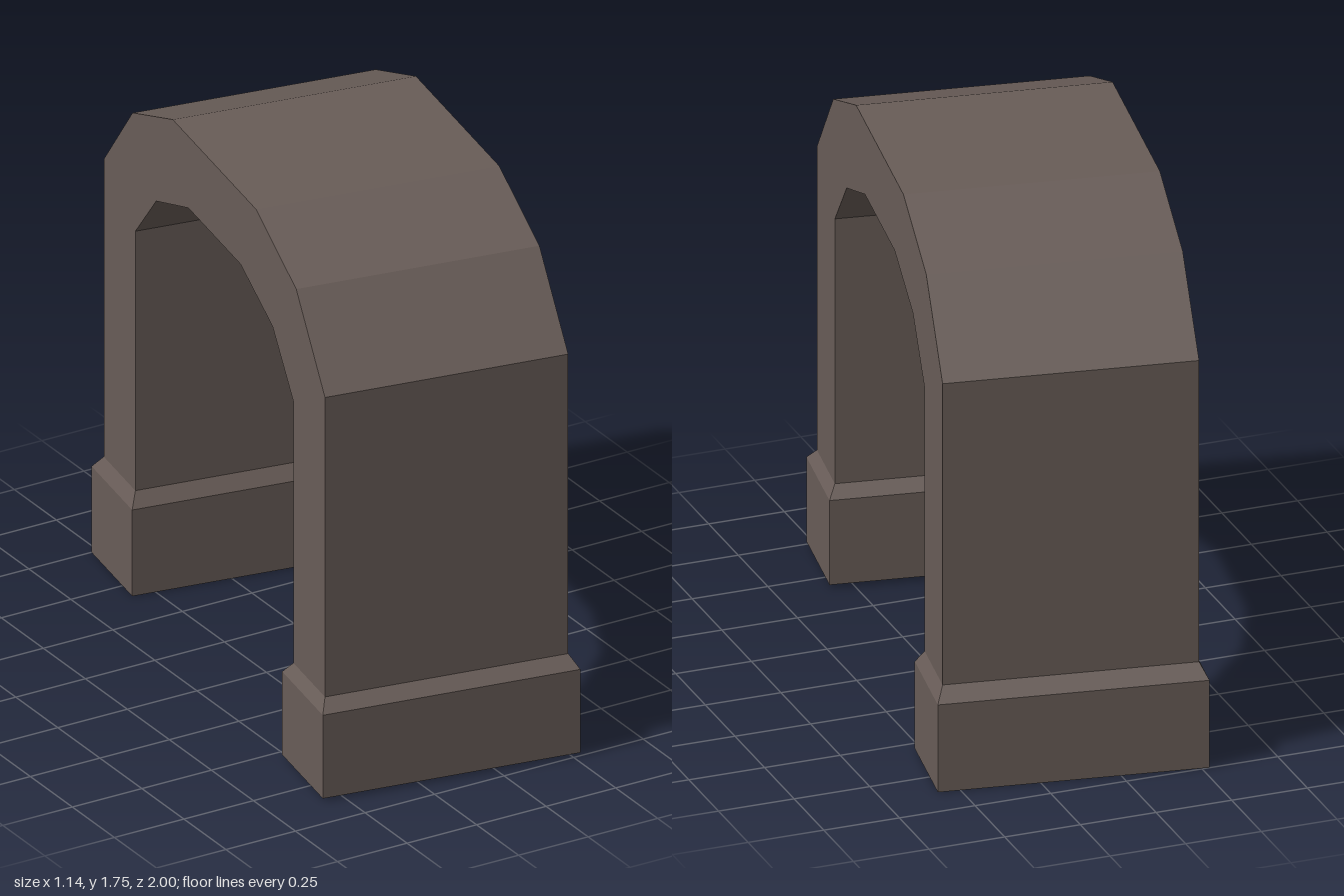
import * as THREE from 'three';

const stone = new THREE.MeshStandardMaterial({ color: 0x685c57, side: THREE.DoubleSide });
stone.name = 'brown stone';

// Skin a hollow tube through rectangular rings.
// Station: [outerZ, outerY, innerZ, innerY, halfWidth]
function sweep(name, stations) {
  const rings = stations.map(([oz, oy, iz, iy, w]) => [
    [w, oy, oz], [-w, oy, oz], [-w, iy, iz], [w, iy, iz],
  ]);
  const pos = [];
  for (let s = 0; s < rings.length - 1; s++) {
    for (let i = 0; i < 4; i++) {
      const j = (i + 1) % 4;
      const a = rings[s][j], b = rings[s][i], c = rings[s + 1][i], d = rings[s + 1][j];
      pos.push(...a, ...b, ...c, ...a, ...c, ...d);
    }
  }
  const geo = new THREE.BufferGeometry();
  geo.setAttribute('position', new THREE.Float32BufferAttribute(pos, 3));
  geo.computeVertexNormals();
  const mesh = new THREE.Mesh(geo, stone);
  mesh.name = name;
  return mesh;
}

// Plinth with a bevelled top, open underneath
function foot(name, bottom, bevelTop, rim) {
  const stations = [
    [0.944, bottom, 0.612, bottom, 0.428],
    [0.944, 0.295, 0.612, 0.295, 0.428],
    [0.903, bevelTop, 0.645, bevelTop, 0.404],
  ];
  if (rim) stations.unshift([0.919, bottom, 0.637, bottom, 0.403]);
  return sweep(name, stations);
}

export function createModel() {
  const group = new THREE.Group();
  group.name = 'stoneArch';

  // Posts and faceted vault in one run from front to back
  const half = [
    [0.903, 1.36, 0.645, 1.23, 0.404],
    [0.668, 1.625, 0.475, 1.41, 0.404],
    [0.34, 1.75, 0.213, 1.505, 0.404],
  ];
  const mirrored = half.map(([oz, oy, iz, iy, w]) => [-oz, oy, -iz, iy, w]).reverse();
  group.add(sweep('arch', [
    [0.903, 0.335, 0.645, 0.335, 0.404],
    ...half,
    ...mirrored,
    [-0.903, 0.342, -0.645, 0.342, 0.404],
  ]));

  // Feet
  group.add(foot('frontFoot', 0.01, 0.335, true));
  const back = foot('backFoot', 0, 0.342, false);
  back.rotation.y = Math.PI;
  group.add(back);

  // The arch stands slightly turned
  const turned = new THREE.Group();
  turned.name = 'archway';
  group.rotation.y = THREE.MathUtils.degToRad(-9);
  turned.add(group);
  return turned;
}
